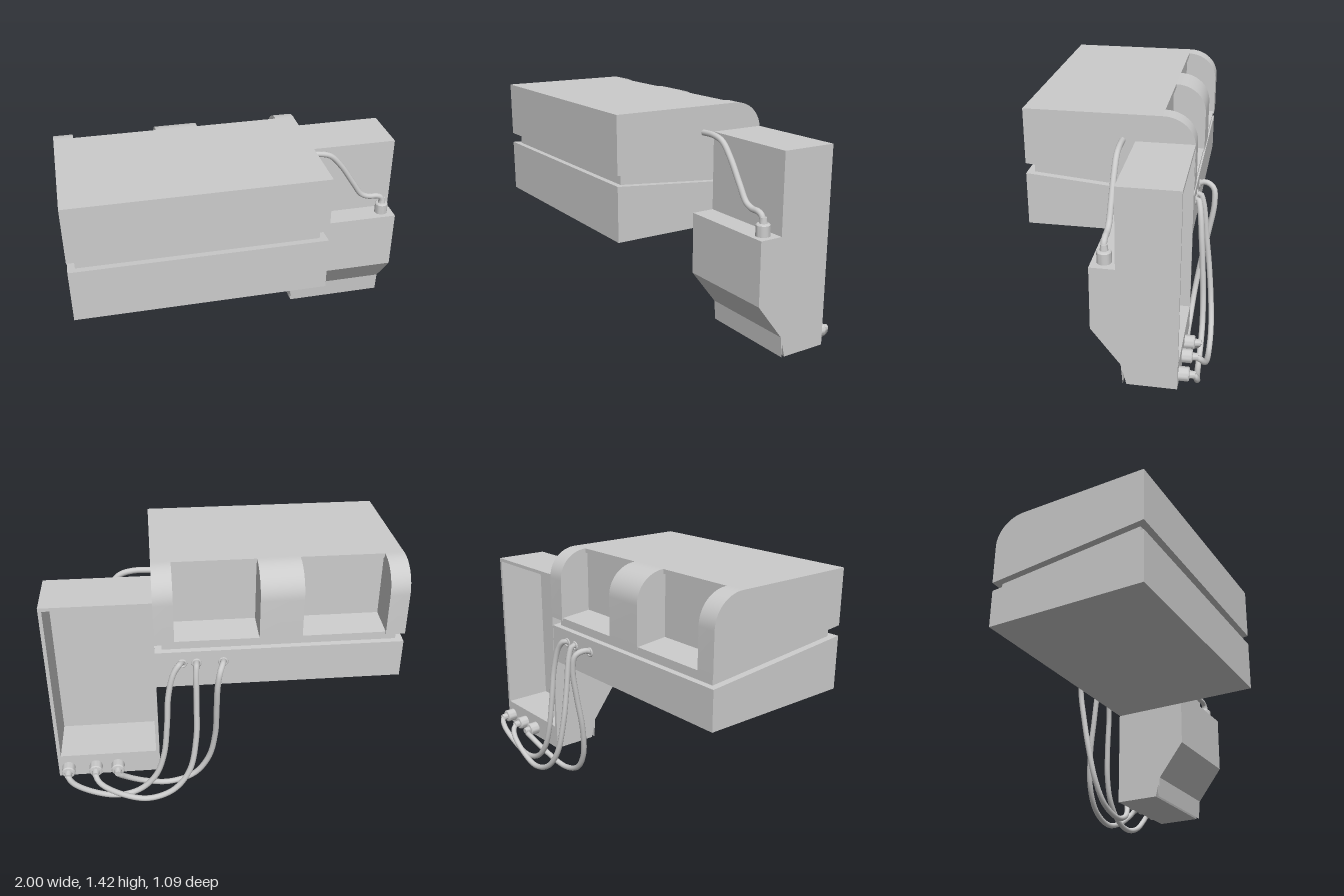
import * as THREE from 'three';
import { toCreasedNormals } from 'three/addons/utils/BufferGeometryUtils.js';

const material = new THREE.MeshStandardMaterial({ color: 0xcccccc });

function add(parent, name, geometry) {
  const mesh = new THREE.Mesh(geometry, material);
  mesh.name = name;
  parent.add(mesh);
  return mesh;
}

// Side profile given as [z, y] points, extruded from x0 to x1
function sideExtrude(shape, x0, x1) {
  const g = new THREE.ExtrudeGeometry(shape, { depth: x1 - x0, bevelEnabled: false, curveSegments: 16 });
  g.rotateY(Math.PI / 2).translate(x0, 0, 0);
  return toCreasedNormals(g, 0.5);
}

const profile = (points) => new THREE.Shape(points.map(([z, y]) => new THREE.Vector2(-z, y)));

function box(x0, x1, y0, y1, z0, z1) {
  return new THREE.BoxGeometry(x1 - x0, y1 - y0, z1 - z0)
    .translate((x0 + x1) / 2, (y0 + y1) / 2, (z0 + z1) / 2);
}

function cable(points, radius = 0.017) {
  const curve = new THREE.CatmullRomCurve3(points.map((p) => new THREE.Vector3(...p)), false, 'centripetal');
  return new THREE.TubeGeometry(curve, 72, radius, 12);
}

// Plug standing on its base along +y: wide collar and narrow tapered neck
function plugGeometry() {
  const pts = [[0, 0], [0.039, 0], [0.039, 0.06], [0.034, 0.066], [0.022, 0.068], [0.018, 0.1], [0, 0.1]];
  return toCreasedNormals(new THREE.LatheGeometry(pts.map((p) => new THREE.Vector2(...p)), 24), 0.6);
}

// Sloping seam heights of the lid underside and the base top
const lidSeam = (z) => 1.1 + (z - 0.54) * 0.097;
const baseSeam = (z) => 1.04 + (z - 0.54) * 0.09;

function createCase() {
  const group = new THREE.Group();
  group.name = 'case';
  const back = -0.402, wall = -0.212;

  add(group, 'caseBase', sideExtrude(profile([
    [0.54, 0.73], [0.54, baseSeam(0.54)], [back, baseSeam(back)], [back, 0.73],
  ]), -1, 0.4));

  // Recessed strip filling the seam
  add(group, 'seamFiller', sideExtrude(profile([
    [0.5, baseSeam(0.5) - 0.01], [0.5, lidSeam(0.5) + 0.01],
    [-0.37, lidSeam(-0.37) + 0.01], [-0.37, baseSeam(-0.37) - 0.01],
  ]), -0.96, 0.36));

  add(group, 'caseLid', sideExtrude(profile([
    [0.54, lidSeam(0.54)], [0.54, 1.42], [wall, 1.42], [wall, lidSeam(wall)],
  ]), -1, 0.4));

  // Rounded hinge housings along the rear
  const hinge = new THREE.Shape();
  hinge.moveTo(-wall, lidSeam(wall));
  hinge.lineTo(0.407, lidSeam(-0.407));
  hinge.lineTo(0.407, 1.25);
  hinge.bezierCurveTo(0.407, 1.35, 0.325, 1.42, 0.225, 1.42);
  hinge.lineTo(-wall, 1.42);
  for (const [x0, x1] of [[-1, -0.89], [-0.42, -0.18], [0.29, 0.4]])
    add(group, 'hingeHousing', sideExtrude(hinge, x0, x1));

  // Floor and overhanging lip of each rear recess
  for (const [x0, x1] of [[-0.89, -0.42], [-0.18, 0.29]]) {
    add(group, 'recessFloor', sideExtrude(profile([
      [wall, lidSeam(wall)], [wall, lidSeam(wall) + 0.015],
      [back, lidSeam(back) + 0.015], [back, lidSeam(back)],
    ]), x0, x1));
    add(group, 'recessLip', box(x0, x1, 1.395, 1.42, -0.226, wall));
  }
  return group;
}

function createSideUnit() {
  const group = new THREE.Group();
  group.name = 'sideUnit';
  const inner = -0.115, back = -0.405;

  // Stepped front with chamfered lower edge
  add(group, 'unitFront', sideExtrude(profile([
    [inner, 0.13], [-0.135, 0.13], [-0.105, 0.25], [0.055, 0.46],
    [0.055, 0.82], [-0.08, 0.82], [-0.08, 1.27], [inner, 1.27],
  ].filter(([z]) => z >= inner).concat([])), 0.4, 1));

  // Frame around the open rear compartment
  const frame = new THREE.Shape([[0.4, 0.25], [1, 0.25], [1, 1.27], [0.4, 1.27]]
    .map((p) => new THREE.Vector2(...p)));
  frame.holes.push(new THREE.Path([[0.42, 0.275], [0.42, 1.25], [0.98, 1.25], [0.98, 0.275]]
    .map((p) => new THREE.Vector2(...p))));
  add(group, 'compartmentFrame', new THREE.ExtrudeGeometry(frame, { depth: inner - back, bevelEnabled: false })
    .translate(0, 0, back));

  // Solid foot below the compartment
  add(group, 'unitFoot', sideExtrude(profile([
    [back, 0.13], [-0.135, 0.13], [-0.105, 0.25], [inner, 0.25], [back, 0.25],
  ]), 0.4, 1));
  return group;
}

function createCables() {
  const group = new THREE.Group();
  group.name = 'cables';

  // Front cable from the case into the top of the step
  add(group, 'frontCable', cable([
    [0.38, 1.272, -0.01], [0.5, 1.272, -0.01], [0.575, 1.25, -0.01], [0.65, 1.17, -0.01],
    [0.73, 1.05, -0.01], [0.79, 0.965, -0.01], [0.84, 0.943, -0.01], [0.89, 0.94, -0.01],
    [0.92, 0.925, -0.01], [0.93, 0.87, -0.01],
  ]));
  add(group, 'frontPlug', plugGeometry()).position.set(0.93, 0.82, -0.012);

  // Rear cables looping from the case base down to the side unit
  const loops = [
    [[0.02, 0.88, -0.39], [0.025, 0.895, -0.44], [0.045, 0.87, -0.488], [0.06, 0.78, -0.498],
      [0.065, 0.6, -0.472], [0.07, 0.4, -0.435], [0.11, 0.2, -0.405], [0.2, 0.07, -0.392],
      [0.35, 0.018, -0.39], [0.5, 0.06, -0.415], [0.61, 0.14, -0.46], [0.645, 0.18, -0.48], [0.65, 0.19, -0.45]],
    [[0.17, 0.88, -0.39], [0.172, 0.885, -0.42], [0.176, 0.83, -0.442], [0.178, 0.6, -0.47],
      [0.185, 0.42, -0.492], [0.23, 0.2, -0.515], [0.33, 0.07, -0.528], [0.48, 0.018, -0.53],
      [0.63, 0.06, -0.528], [0.75, 0.14, -0.518], [0.778, 0.18, -0.495], [0.78, 0.19, -0.45]],
    [[0.25, 0.88, -0.39], [0.262, 0.89, -0.418], [0.3, 0.84, -0.435], [0.335, 0.7, -0.45],
      [0.35, 0.5, -0.465], [0.375, 0.3, -0.477], [0.43, 0.15, -0.482], [0.53, 0.05, -0.482],
      [0.66, 0.018, -0.483], [0.8, 0.06, -0.49], [0.91, 0.14, -0.5], [0.938, 0.18, -0.49], [0.94, 0.19, -0.45]],
  ];
  for (const points of loops) {
    add(group, 'rearCable', cable(points));
    const plug = add(group, 'rearPlug', plugGeometry());
    plug.position.set(points.at(-1)[0], 0.19, -0.395);
    plug.rotation.x = -Math.PI / 2;
    // Grommet where the cable leaves the case
    add(group, 'grommet', new THREE.TorusGeometry(0.022, 0.007, 8, 20))
      .position.set(points[0][0], 0.88, -0.402);
  }
  return group;
}

export function createModel() {
  const model = new THREE.Group();
  model.name = 'caseWithSideUnit';
  model.add(createCase(), createSideUnit(), createCables());
  return model;
}
